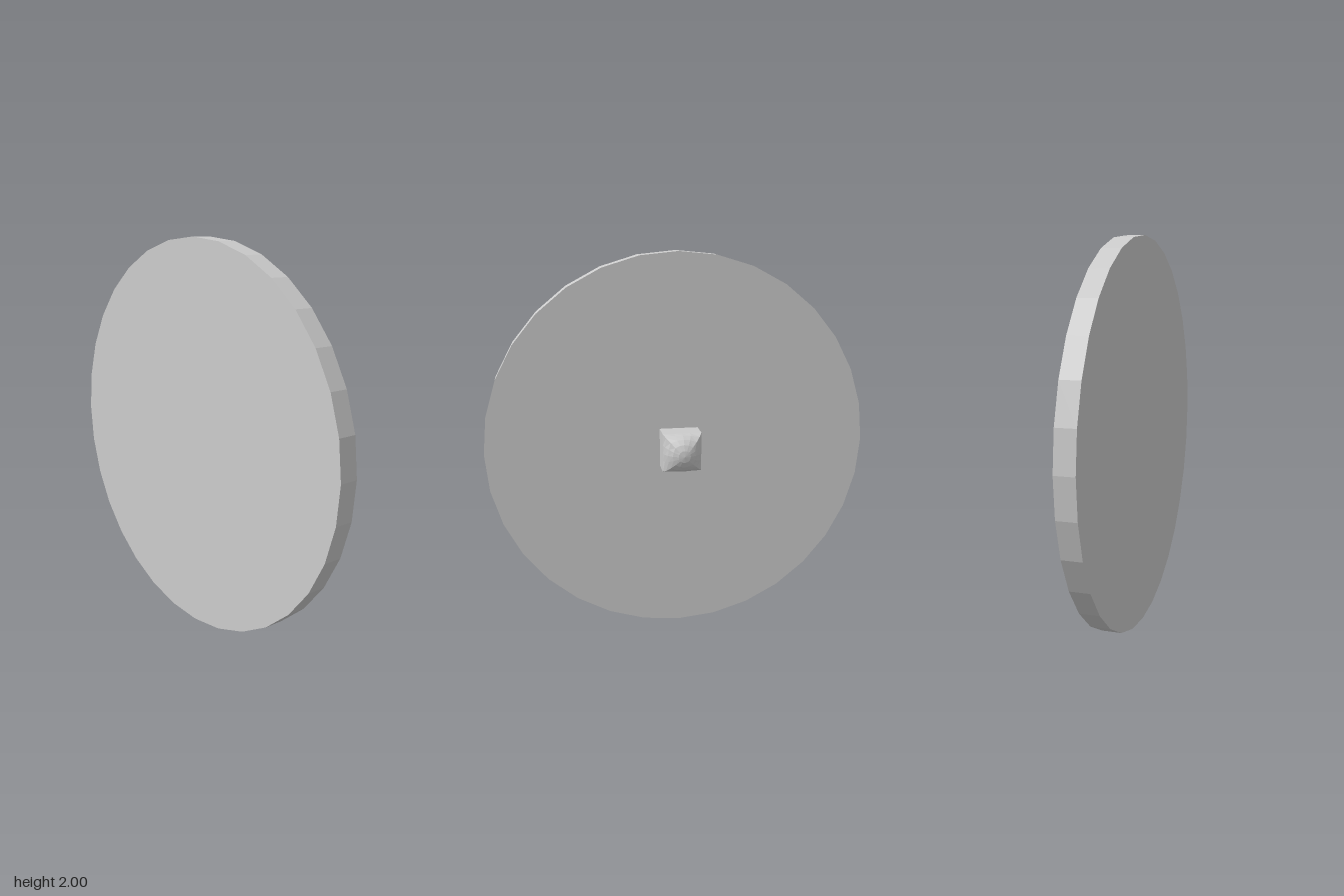
import * as THREE from 'three';

const material = new THREE.MeshStandardMaterial({ color: 0xcccccc, flatShading: true });

function addPart(group, name, geometry, z) {
  const mesh = new THREE.Mesh(geometry, material);
  mesh.name = name;
  mesh.position.set(0, 1, z);
  group.add(mesh);
}

// Half dome whose rim is square and whose tip is round
function squareDome(halfWidth, height) {
  const geometry = new THREE.SphereGeometry(1, 16, 5, 0, Math.PI * 2, 0, Math.PI / 2);
  const p = geometry.attributes.position;
  for (let i = 0; i < p.count; i++) {
    const x = p.getX(i), y = p.getY(i), z = p.getZ(i);
    const reach = Math.max(Math.abs(x), Math.abs(z));
    const square = reach > 1e-6 ? Math.hypot(x, z) / reach : 1;
    const k = halfWidth * THREE.MathUtils.lerp(square, 1, y);
    p.setXYZ(i, x * k, y * height, z * k);
  }
  geometry.rotateX(-Math.PI / 2); // tip points to the back
  geometry.computeVertexNormals();
  return geometry;
}

export function createModel() {
  const group = new THREE.Group();
  group.name = 'discWithPeg';

  // Upright disc
  addPart(group, 'disc', new THREE.CylinderGeometry(1, 1, 0.1, 32).rotateX(Math.PI / 2), 0.1);

  // Square peg on the back, with its rounded end
  addPart(group, 'pegShaft', new THREE.BoxGeometry(0.2, 0.2, 0.11), -0.005);
  addPart(group, 'pegTip', squareDome(0.1, 0.09), -0.06);

  return group;
}
